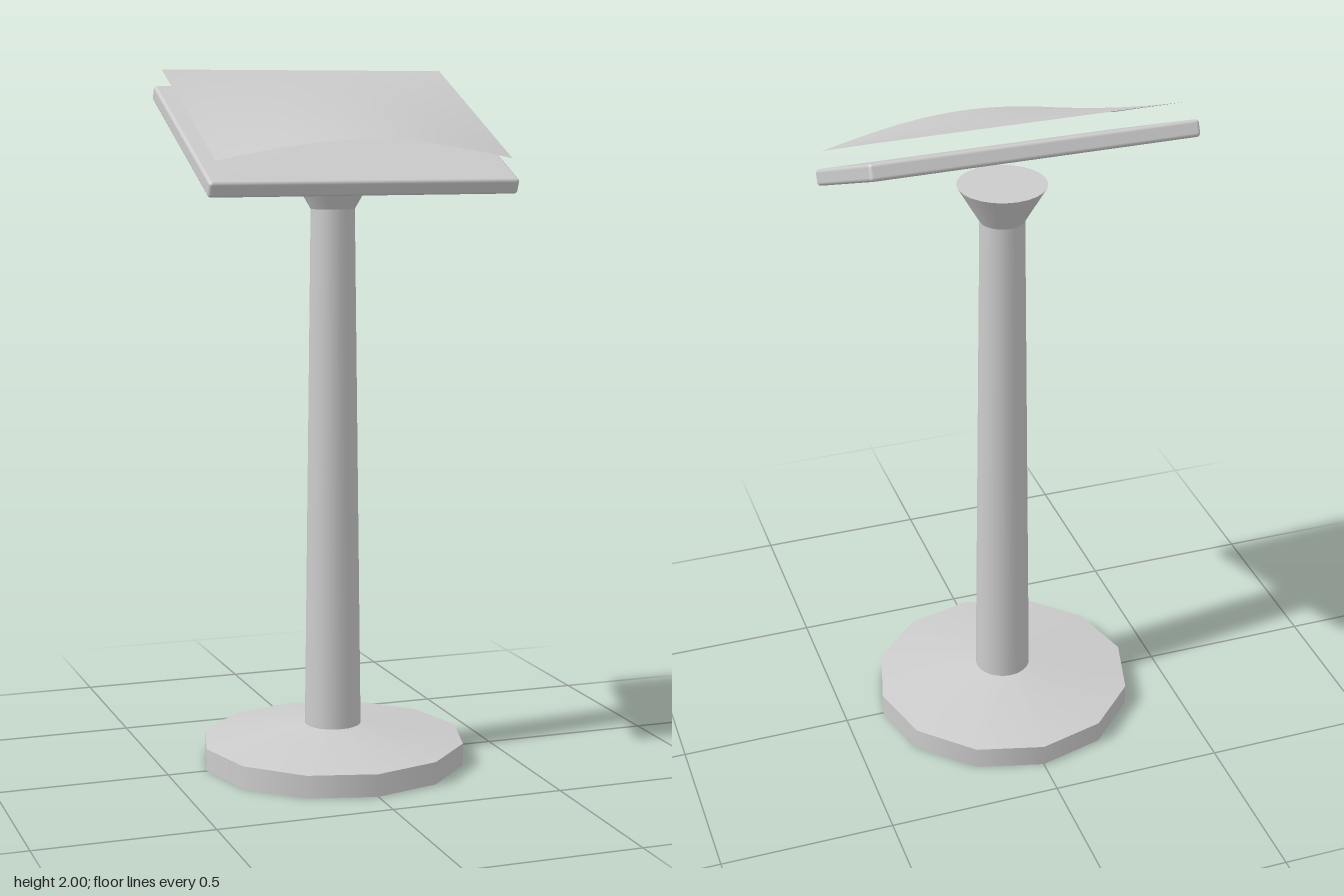
import * as THREE from 'three';
import { RoundedBoxGeometry } from 'three/addons/geometries/RoundedBoxGeometry.js';

const TILT = THREE.MathUtils.degToRad(24.4);

// Thin sheet, straight along the back and bowed upward along the front
function bowedSheet(width, depth, rise) {
  const geo = new THREE.PlaneGeometry(width, depth, 20, 6).rotateX(-Math.PI / 2);
  const pos = geo.attributes.position;
  for (let i = 0; i < pos.count; i++) {
    const across = pos.getX(i) / (width / 2);
    const forward = pos.getZ(i) / depth + 0.5;
    pos.setY(i, rise * forward * Math.cos(across * Math.PI / 2));
  }
  geo.computeVertexNormals();
  return geo;
}

export function createModel() {
  const model = new THREE.Group();
  model.name = 'lectern';
  const grey = new THREE.MeshStandardMaterial({ color: 0xcccccc, side: THREE.DoubleSide });
  grey.name = 'light grey';

  const add = (name, geometry, parent = model) => {
    const mesh = new THREE.Mesh(geometry, grey);
    mesh.name = name;
    parent.add(mesh);
    return mesh;
  };
  // Round section standing between two heights
  const section = (name, rTop, rBottom, y0, y1, sides, open = false) => {
    const mesh = add(name, new THREE.CylinderGeometry(rTop, rBottom, y1 - y0, sides, 1, open));
    mesh.position.y = (y0 + y1) / 2;
  };

  // Twelve-sided foot with a sloping top
  section('baseDisc', 0.385, 0.385, 0, 0.065, 12);
  section('baseSlope', 0.08, 0.385, 0.065, 0.11, 12, true);

  // Tapered post and the flared support under the desk
  section('post', 0.063, 0.082, 0.1, 1.61, 24, true);
  section('flaredSupport', 0.125, 0.063, 1.61, 1.717, 24);

  // Tilted desk with the bowed sheet above it
  const desk = new THREE.Group();
  desk.name = 'desk';
  desk.position.y = 1.806;
  desk.rotation.x = TILT;
  model.add(desk);
  add('deskBoard', new RoundedBoxGeometry(0.894, 0.046, 0.635, 3, 0.01), desk);
  const sheet = add('bowedSheet', bowedSheet(0.855, 0.598, 0.06), desk);
  sheet.position.set(0, 0.071, -0.018);

  return model;
}
